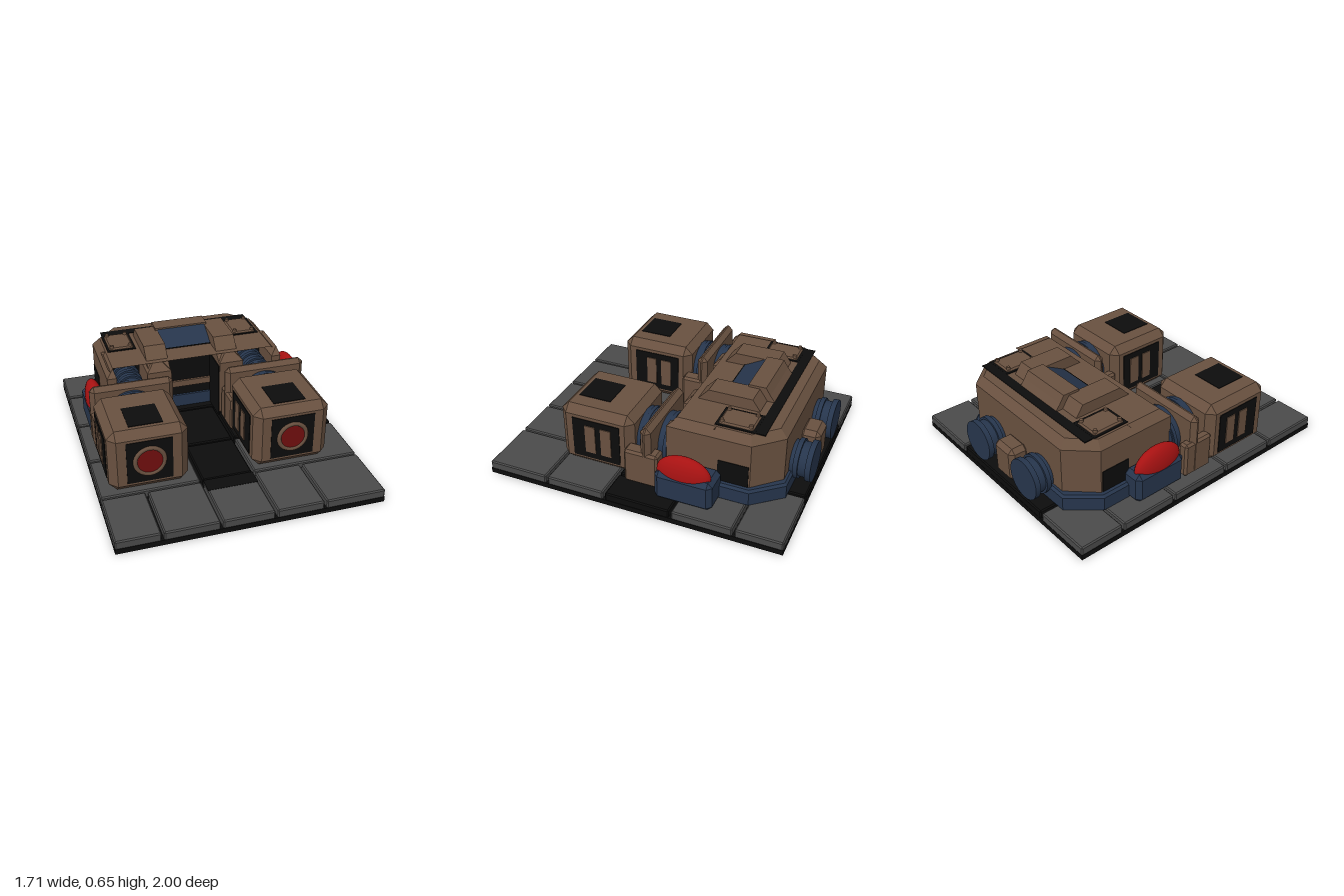
import * as THREE from 'three';
import { ConvexGeometry } from 'three/addons/geometries/ConvexGeometry.js';

const material = (name, color) => {
  const m = new THREE.MeshStandardMaterial({ color });
  m.name = name;
  return m;
};

export function createModel() {
  const tan = material('tanArmour', 0x68503f);
  const black = material('darkRecess', 0x0c0c0c);
  const blue = material('navyMetal', 0x26354c);
  const red = material('redDome', 0xa81212);
  const lensRed = material('redLens', 0x700e0e);
  const stone = material('greyStone', 0x4a4a4a);

  const model = new THREE.Group();
  model.name = 'machineOnTiles';
  const add = (parent, name, geometry, mat, x = 0, y = 0, z = 0) => {
    const mesh = new THREE.Mesh(geometry, mat);
    mesh.name = name;
    mesh.position.set(x, y, z);
    parent.add(mesh);
    return mesh;
  };
  // Box given by its limits on each axis
  const box = (parent, name, mat, x0, x1, y0, y1, z0, z1) =>
    add(parent, name, new THREE.BoxGeometry(x1 - x0, y1 - y0, z1 - z0), mat,
      (x0 + x1) / 2, (y0 + y1) / 2, (z0 + z1) / 2);
  // Box with every edge cut at 45 degrees
  const chamferBox = (parent, name, mat, x0, x1, y0, y1, z0, z1, c) => {
    const [w, h, d] = [(x1 - x0) / 2, (y1 - y0) / 2, (z1 - z0) / 2];
    const points = [];
    for (const a of [-1, 1]) for (const b of [-1, 1]) for (const e of [-1, 1]) {
      points.push(new THREE.Vector3(a * w, b * (h - c), e * (d - c)),
        new THREE.Vector3(a * (w - c), b * h, e * (d - c)),
        new THREE.Vector3(a * (w - c), b * (h - c), e * d));
    }
    return add(parent, name, new ConvexGeometry(points), mat,
      (x0 + x1) / 2, (y0 + y1) / 2, (z0 + z1) / 2);
  };
  // Cylinder lying along z
  const rod = (parent, name, mat, r, x, y, z0, z1, sides = 24) => {
    const g = new THREE.CylinderGeometry(r, r, z1 - z0, sides).rotateX(Math.PI / 2);
    return add(parent, name, g, mat, x, y, (z0 + z1) / 2);
  };
  const shapeOf = pts => new THREE.Shape(pts.map(([a, b]) => new THREE.Vector2(a, -b)));
  // Plan outline of [x, z] points, raised from y0 to y1
  const raise = (name, mat, pts, y0, y1, bevel) => {
    const g = new THREE.ExtrudeGeometry(shapeOf(pts), {
      depth: y1 - y0 - 2 * bevel, bevelEnabled: bevel > 0, bevelSegments: 1,
      bevelSize: bevel, bevelThickness: bevel, bevelOffset: -bevel });
    g.rotateX(-Math.PI / 2);
    return add(model, name, g, mat, 0, y0 + bevel, 0);
  };
  // Side profile of [z, y] points, swept from x0 to x1
  const sweep = (name, mat, pts, x0, x1) => {
    const s = new THREE.Shape(pts.map(([z, y]) => new THREE.Vector2(-z, y)));
    const g = new THREE.ExtrudeGeometry(s, { depth: x1 - x0, bevelEnabled: false });
    g.rotateY(Math.PI / 2);
    return add(model, name, g, mat, x0, 0, 0);
  };

  // Paved floor: each row is [z0, z1, x seams, dark tile indices]
  box(model, 'floorSlab', black, -0.855, 0.855, 0, 0.035, -1, 1);
  const rows = [
    [0.58, 1, [-0.855, -0.57, -0.21, 0.135, 0.455, 0.855], []],
    [0.17, 0.58, [-0.855, -0.21, 0.135, 0.855], [1]],
    [-0.28, 0.17, [-0.855, -0.21, 0.135, 0.64, 0.855], [1, 2, 3]],
    [-0.69, -0.28, [-0.855, -0.5, 0.45, 0.855], [1]],
    [-1, -0.69, [-0.855, -0.46, 0.4, 0.855], [1]],
  ];
  for (const [z0, z1, xs, dark] of rows) {
    for (let i = 0; i < xs.length - 1; i++) {
      chamferBox(model, 'floorTile', dark.includes(i) ? black : stone,
        xs[i] + (i ? 0.008 : 0), xs[i + 1] - (i < xs.length - 2 ? 0.008 : 0), 0.03, 0.09,
        z0 + (z0 > -1 ? 0.008 : 0), z1 - (z1 < 1 ? 0.008 : 0), 0.008);
    }
  }
  box(model, 'darkFloorStrip', black, -0.202, 0.127, 0.088, 0.092, 0.58, 0.69);

  // Hull with a centre channel and two piston slots open to the front
  raise('hull', tan, [
    [-0.65, -0.14], [-0.65, -0.69], [-0.49, -0.86], [0.42, -0.86], [0.58, -0.69], [0.58, -0.14],
    [0.515, -0.14], [0.515, -0.4], [0.305, -0.4], [0.305, -0.14], [0.135, -0.14], [0.135, -0.37],
    [-0.21, -0.37], [-0.21, -0.14], [-0.375, -0.14], [-0.375, -0.4], [-0.585, -0.4], [-0.585, -0.14],
  ], 0.07, 0.555, 0.05);
  raise('skirt', blue, [
    [-0.69, -0.4], [-0.69, -0.7], [-0.53, -0.89], [0.46, -0.89], [0.62, -0.7], [0.62, -0.4],
  ], 0.08, 0.2, 0.015);
  box(model, 'rearDeckGroove', black, -0.58, 0.51, 0.553, 0.559, -0.75, -0.685);
  box(model, 'sidePanel', black, 0.576, 0.584, 0.2, 0.35, -0.68, -0.48);
  box(model, 'sidePanel', black, -0.654, -0.646, 0.2, 0.35, -0.68, -0.48);

  // Raised hood: two side arms, a crown and a sloping window
  for (const [x0, x1] of [[-0.36, -0.21], [0.135, 0.285]]) {
    sweep('hoodArm', tan, [[-0.14, 0.12], [-0.14, 0.49], [-0.23, 0.555], [-0.3, 0.632],
      [-0.59, 0.632], [-0.64, 0.56], [-0.64, 0.12]], x0, x1);
  }
  sweep('hoodCrown', tan, [[-0.515, 0.5], [-0.515, 0.648], [-0.63, 0.648], [-0.66, 0.6],
    [-0.69, 0.56], [-0.69, 0.5]], -0.225, 0.15);
  sweep('window', blue, [[-0.37, 0.45], [-0.37, 0.56], [-0.52, 0.64], [-0.52, 0.45]], -0.21, 0.135);
  box(model, 'channelWall', black, -0.21, 0.135, 0.09, 0.56, -0.4, -0.362);
  for (const x of [-0.208, 0.133]) box(model, 'channelSide', black, x - 0.004, x + 0.004, 0.09, 0.48, -0.36, -0.145);
  box(model, 'channelBar', tan, -0.21, 0.135, 0.25, 0.295, -0.37, -0.345);
  box(model, 'channelFoot', blue, -0.21, 0.135, 0.09, 0.18, -0.37, -0.345);

  // Deck hatches with corner bolts
  for (const x of [-0.485, 0.415]) {
    box(model, 'hatchSeal', black, x - 0.1, x + 0.1, 0.55, 0.56, -0.685, -0.43);
    chamferBox(model, 'hatch', tan, x - 0.085, x + 0.085, 0.54, 0.572, -0.67, -0.445, 0.01);
    for (const dx of [-0.065, 0.065]) for (const z of [-0.65, -0.465]) {
      add(model, 'hatchBolt', new THREE.CylinderGeometry(0.012, 0.016, 0.025, 8), tan, x + dx, 0.575, z);
    }
    box(model, 'slotFloor', black, x - 0.1, x + 0.1, 0.1, 0.36, -0.4, -0.15);
    box(model, 'slotWall', black, x - 0.105, x + 0.105, 0.3, 0.5, -0.405, -0.392);
  }

  // Side lamps: domes in navy housings
  for (const [x0, x1] of [[-0.78, -0.63], [0.57, 0.77]]) {
    chamferBox(model, 'lampHousing', blue, x0, x1, 0.08, 0.285, -0.51, -0.13, 0.03);
    const x = x0 < 0 ? -0.72 : 0.705;
    const dome = add(model, 'lampDome', new THREE.SphereGeometry(1, 28, 18), red, x, 0.28, -0.31);
    dome.scale.set(0.06, 0.125, 0.178);
  }

  // Rear exhausts and the block between them
  for (const x of [-0.29, 0.215]) {
    rod(model, 'exhaust', blue, 0.115, x, 0.235, -0.99, -0.82);
    rod(model, 'exhaustCap', blue, 0.135, x, 0.235, -1, -0.965);
    rod(model, 'exhaustCollar', blue, 0.13, x, 0.235, -0.915, -0.885);
  }
  chamferBox(model, 'rearBlock', tan, -0.135, 0.06, 0.09, 0.33, -0.98, -0.84, 0.03);

  // Two identical front pods on pistons
  for (const px of [-0.537, 0.393]) {
    const pod = new THREE.Group();
    pod.name = 'frontPod';
    pod.position.x = px;
    model.add(pod);
    chamferBox(pod, 'podShell', tan, -0.253, 0.253, 0.1, 0.522, 0.065, 0.575, 0.05);
    box(pod, 'topVent', black, -0.108, 0.108, 0.518, 0.526, 0.28, 0.5);
    // Headlamp
    box(pod, 'frontPanel', black, -0.145, 0.145, 0.165, 0.455, 0.571, 0.579);
    add(pod, 'lampRing', new THREE.TorusGeometry(0.092, 0.015, 6, 28), tan, 0, 0.31, 0.579);
    rod(pod, 'lampLens', lensRed, 0.08, 0, 0.31, 0.572, 0.584, 28);
    // Side grilles
    for (const s of [-1, 1]) {
      box(pod, 'sideGrille', black, s * 0.254 - 0.004, s * 0.254 + 0.004, 0.165, 0.45, 0.15, 0.48);
      for (const z of [0.355, 0.245]) {
        box(pod, 'grilleBar', tan, s * 0.258 - 0.006, s * 0.258 + 0.006, 0.21, 0.41, z - 0.036, z + 0.036);
      }
    }
    // Cross plate and brackets
    chamferBox(pod, 'crossPlate', tan, -0.253, 0.31, 0.1, 0.52, -0.08, -0.01, 0.03);
    chamferBox(pod, 'outerBracket', tan, 0.21, 0.31, 0.1, 0.34, -0.13, 0.1, 0.015);
    chamferBox(pod, 'innerBracket', tan, -0.25, -0.18, 0.1, 0.34, -0.13, 0.09, 0.015);
    // Pistons
    rod(pod, 'piston', blue, 0.165, 0.02, 0.31, -0.15, 0.08);
    for (const z of [-0.13, 0.025]) rod(pod, 'pistonRib', blue, 0.18, 0.02, 0.3, z - 0.012, z + 0.012);
    const sx = px < 0 ? 0.052 : 0.022;
    rod(pod, 'slotPiston', blue, 0.085, sx, 0.39, -0.39, -0.1);
    for (const z of [-0.35, -0.27, -0.19]) rod(pod, 'slotPistonRib', blue, 0.098, sx, 0.39, z - 0.015, z + 0.015);
  }

  return model;
}
